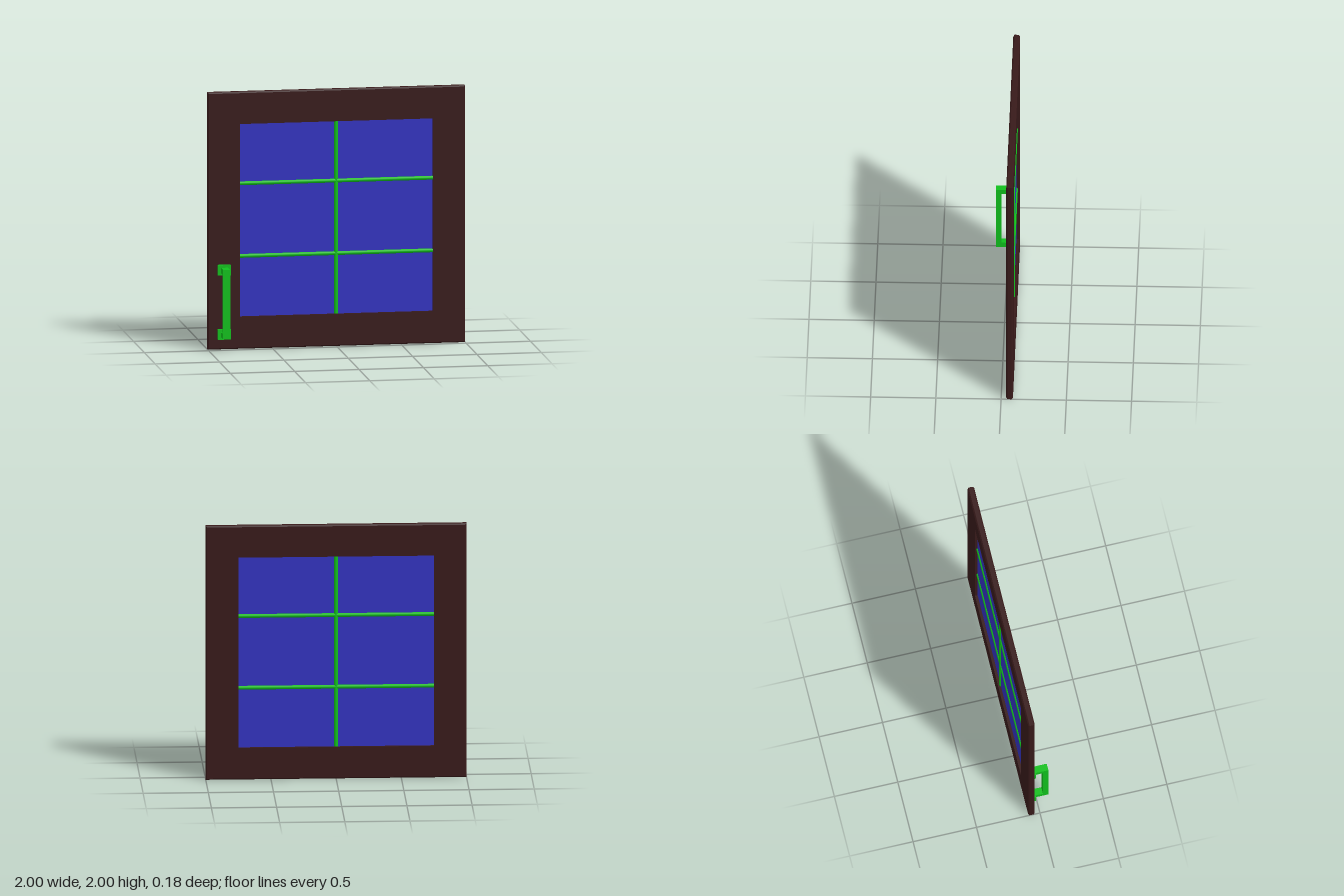
import * as THREE from 'three';

const frameMat = new THREE.MeshStandardMaterial({ color: 0x381a1a });
const glassMat = new THREE.MeshStandardMaterial({ color: 0x3333c0 });
const greenMat = new THREE.MeshStandardMaterial({ color: 0x10c01c });

const PANEL_Z = -0.065; // middle of the frame's thickness

function add(parent, name, geometry, material, x = 0, y = 0, z = 0) {
  const mesh = new THREE.Mesh(geometry, material);
  mesh.name = name;
  mesh.position.set(x, y, z);
  parent.add(mesh);
  return mesh;
}

// Square frame: a chamfered cross-section turned through four mitred sides
function frameGeometry(outer, inner, thickness, chamfer) {
  const h = thickness / 2;
  const section = [
    [inner, -h], [outer - chamfer, -h], [outer, -h + chamfer],
    [outer, h - chamfer], [outer - chamfer, h], [inner, h], [inner, -h],
  ].map(([r, y]) => new THREE.Vector2(r * Math.SQRT2, y));
  const geometry = new THREE.LatheGeometry(section, 4)
    .rotateY(Math.PI / 4)
    .rotateX(Math.PI / 2)
    .toNonIndexed();
  geometry.computeVertexNormals();
  return geometry;
}

// U-shaped pull: side profile in (z, y), extruded across its width
function pullGeometry(width) {
  const profile = new THREE.Shape([
    [-0.03, 0.10], [0.09, 0.10], [0.09, 0.64], [-0.03, 0.64],
    [-0.03, 0.60], [0.047, 0.60], [0.047, 0.14], [-0.03, 0.14],
  ].map(([z, y]) => new THREE.Vector2(z, y)));
  return new THREE.ExtrudeGeometry(profile, { depth: width, bevelEnabled: false })
    .translate(0, 0, -width / 2)
    .rotateY(-Math.PI / 2);
}

export function createModel() {
  const model = new THREE.Group();
  model.name = 'windowPanel';

  add(model, 'frame', frameGeometry(1, 0.75, 0.052, 0.01), frameMat, 0, 1, PANEL_Z);
  add(model, 'glass', new THREE.BoxGeometry(1.5, 1.5, 0.01), glassMat, 0, 1, PANEL_Z);

  // Round glazing bars, showing on both faces of the glass
  const bars = new THREE.Group();
  bars.name = 'glazingBars';
  model.add(bars);
  const bar = new THREE.CylinderGeometry(0.016, 0.016, 1.5, 16);
  add(bars, 'verticalBar', bar, greenMat, 0, 1, PANEL_Z);
  for (const y of [0.72, 1.285]) {
    add(bars, 'horizontalBar', bar, greenMat, 0, y, PANEL_Z).rotation.z = Math.PI / 2;
  }

  // Handle with a mounting plate at each end
  const handle = new THREE.Group();
  handle.name = 'handle';
  handle.position.x = -0.875;
  model.add(handle);
  add(handle, 'pull', pullGeometry(0.055), greenMat);
  for (const y of [0.12, 0.62]) {
    add(handle, 'mountingPlate', new THREE.BoxGeometry(0.1, 0.08, 0.03), greenMat, 0, y, -0.027);
  }

  return model;
}
